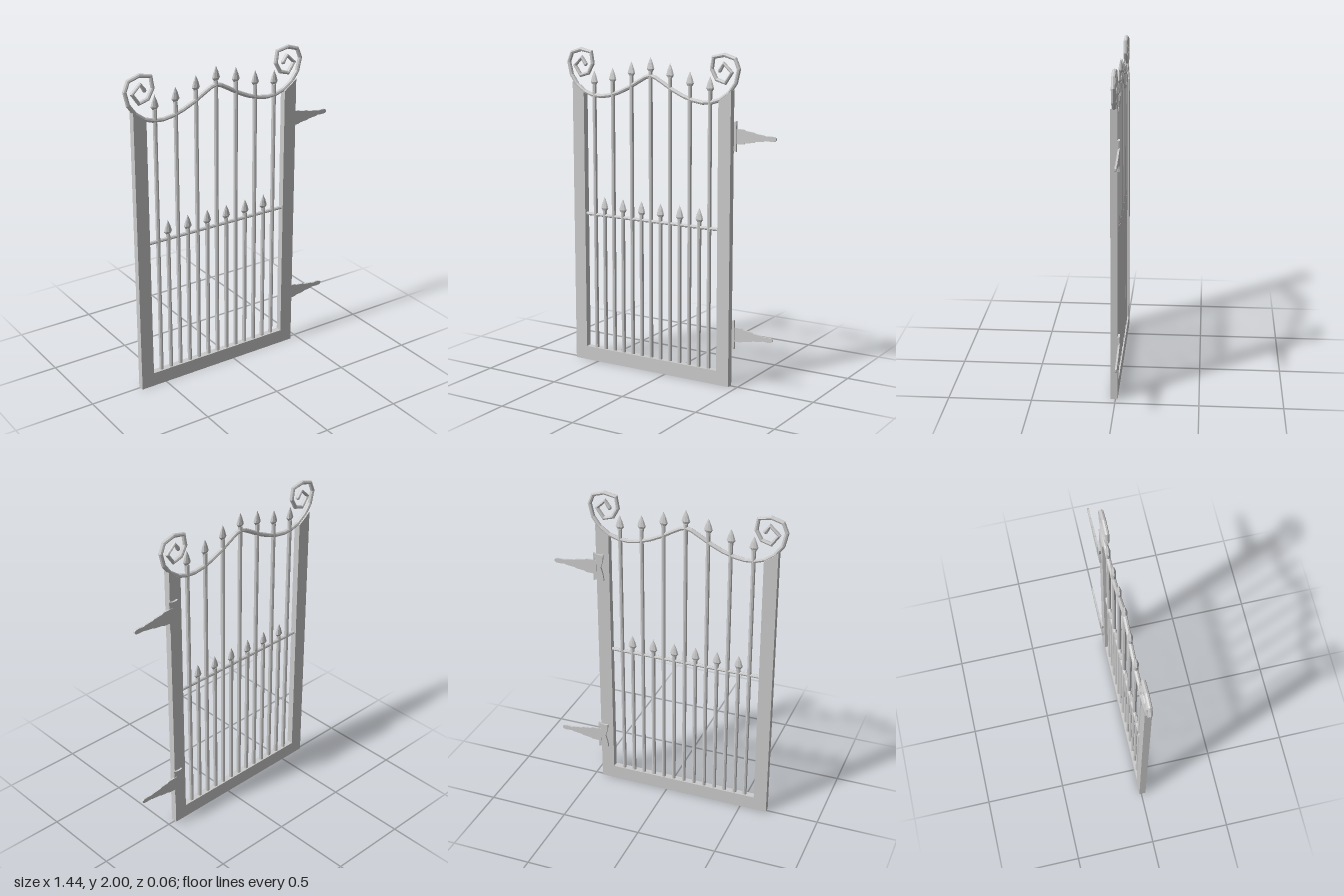
import * as THREE from 'three';

const CX = -0.11;   // centre line of the gate leaf
const CZ = 0.007;   // middle of its thickness
const mat = new THREE.MeshStandardMaterial({ color: 0xcccccc, flatShading: true, side: THREE.DoubleSide });

function add(parent, name, geometry, x = 0, y = 0, z = 0) {
  const mesh = new THREE.Mesh(geometry, mat);
  mesh.name = name;
  mesh.position.set(x, y, z);
  parent.add(mesh);
  return mesh;
}

const toShape = (pts) => new THREE.Shape(pts.map(([x, y]) => new THREE.Vector2(x, y)));
const slab = (shape, depth) => new THREE.ExtrudeGeometry(shape, { depth, bevelEnabled: false, curveSegments: 6 });

// Straight-segment path whose samples land exactly on its corners
class Polyline extends THREE.Curve {
  constructor(points) {
    super();
    this.points = points;
  }
  getPoint(t, target = new THREE.Vector3()) {
    const n = this.points.length - 1;
    const i = Math.min(Math.floor(t * n + 1e-6), n - 1);
    return target.lerpVectors(this.points[i], this.points[i + 1], t * n - i);
  }
  getPointAt(t, target) {
    return this.getPoint(t, target);
  }
  getTangentAt(t, target = new THREE.Vector3()) {
    const p = this.points, n = p.length - 1, i = Math.round(t * n);
    const before = p[Math.max(i, 1)].clone().sub(p[Math.max(i, 1) - 1]).normalize();
    const j = Math.min(i, n - 1);
    const after = p[j + 1].clone().sub(p[j]).normalize();
    return target.copy(before).add(after).normalize();
  }
}

// Wavy top rail from its middle out to the eye of the scroll
const HALF_RAIL = [
  [0, 1.845], [0.034, 1.836], [0.087, 1.807], [0.151, 1.77], [0.225, 1.736], [0.294, 1.714],
  [0.358, 1.704], [0.421, 1.709], [0.48, 1.728], [0.538, 1.77], [0.58, 1.828], [0.599, 1.908],
  [0.575, 1.966], [0.506, 1.987], [0.432, 1.972], [0.421, 1.902], [0.453, 1.844], [0.511, 1.826],
  [0.554, 1.887], [0.501, 1.937], [0.474, 1.897],
];

function addTopRail(parent) {
  const r = 0.013;
  const right = HALF_RAIL.map(([x, y]) => new THREE.Vector3(x, y, 0));
  const left = HALF_RAIL.slice(1).reverse().map(([x, y]) => new THREE.Vector3(-x, y, 0));
  const points = [...left, ...right];
  add(parent, 'scrolledTopRail', new THREE.TubeGeometry(new Polyline(points), points.length - 1, r, 8), CX, 0, CZ);
  for (const end of [points[0], points[points.length - 1]]) {
    add(parent, 'scrollEnd', new THREE.SphereGeometry(r, 8, 6), CX + end.x, end.y, CZ);
  }
}

// Round bar with a flattened spear head
function addBar(parent, name, x, tip) {
  const bar = new THREE.Group();
  bar.name = name;
  bar.position.set(x, 0, CZ);
  const bottom = 0.08, top = tip - 0.085;
  add(bar, 'shaft', new THREE.CylinderGeometry(0.013, 0.013, top - bottom, 8), 0, (top + bottom) / 2, 0);
  const profile = [[0, 0], [0.014, 0], [0.014, 0.012], [0.027, 0.03], [0.016, 0.065], [0, 0.1]];
  const spear = add(bar, 'spearHead',
    new THREE.LatheGeometry(profile.map(([a, b]) => new THREE.Vector2(a, b)), 8), 0, tip - 0.1, 0);
  spear.scale.z = 0.55;
  parent.add(bar);
}

// Strap hinge on the back of the left stile
function addHinge(parent, y) {
  const hinge = new THREE.Group();
  hinge.name = 'hinge';
  hinge.position.y = y;

  const plate = new THREE.Shape();
  plate.moveTo(0.465, -0.09);
  plate.lineTo(0.465, 0.09);
  plate.quadraticCurveTo(0.43, 0.075, 0.4, 0.085);
  plate.quadraticCurveTo(0.402, 0.04, 0.418, 0);
  plate.quadraticCurveTo(0.402, -0.04, 0.4, -0.085);
  plate.quadraticCurveTo(0.43, -0.075, 0.465, -0.09);
  add(hinge, 'hingePlate', slab(plate, 0.013), 0, 0, -0.025);

  const edge = [[0.445, 0.045], [0.51, 0.043], [0.522, 0.036], [0.575, 0.03], [0.588, 0.024],
    [0.64, 0.018], [0.655, 0.013], [0.69, 0.015], [0.71, 0.013], [0.72, 0.006]];
  const mirrored = edge.map(([x, h]) => [x, -h]).reverse();
  add(hinge, 'hingeStrap', slab(toShape([...edge, ...mirrored]), 0.011), 0, 0, -0.028);

  add(hinge, 'hingeKnuckle', new THREE.CylinderGeometry(0.007, 0.007, 0.17, 8), 0.459, 0, -0.019);
  parent.add(hinge);
}

export function createModel() {
  const gate = new THREE.Group();
  gate.name = 'gate';

  // Two stiles and the bottom rail, stile tops sloping under the scrolls
  const side = [[0.56, 0], [0.56, 1.785], [0.52, 1.752], [0.477, 1.722], [0.477, 0.088]];
  const otherSide = side.map(([x, y]) => [-x, y]).reverse();
  add(gate, 'frame', slab(toShape([...side, ...otherSide]), 0.041), CX, 0, -0.013);

  addTopRail(gate);

  // Middle rail
  const rail = add(gate, 'middleRail', new THREE.CylinderGeometry(0.011, 0.011, 0.96, 8), CX, 0.957, CZ);
  rail.rotation.z = Math.PI / 2;

  // Tall bars, highest in the middle, with short bars between them
  const spacing = 0.1368;
  const tips = [1.957, 1.925, 1.882, 1.86];
  for (let k = -3; k <= 3; k++) {
    addBar(gate, 'tallBar', CX + k * spacing, tips[Math.abs(k)]);
    if (k < 3) addBar(gate, 'shortBar', CX + (k + 0.5) * spacing, 1.075);
  }

  for (const y of [0.32, 1.516]) addHinge(gate, y);
  return gate;
}
